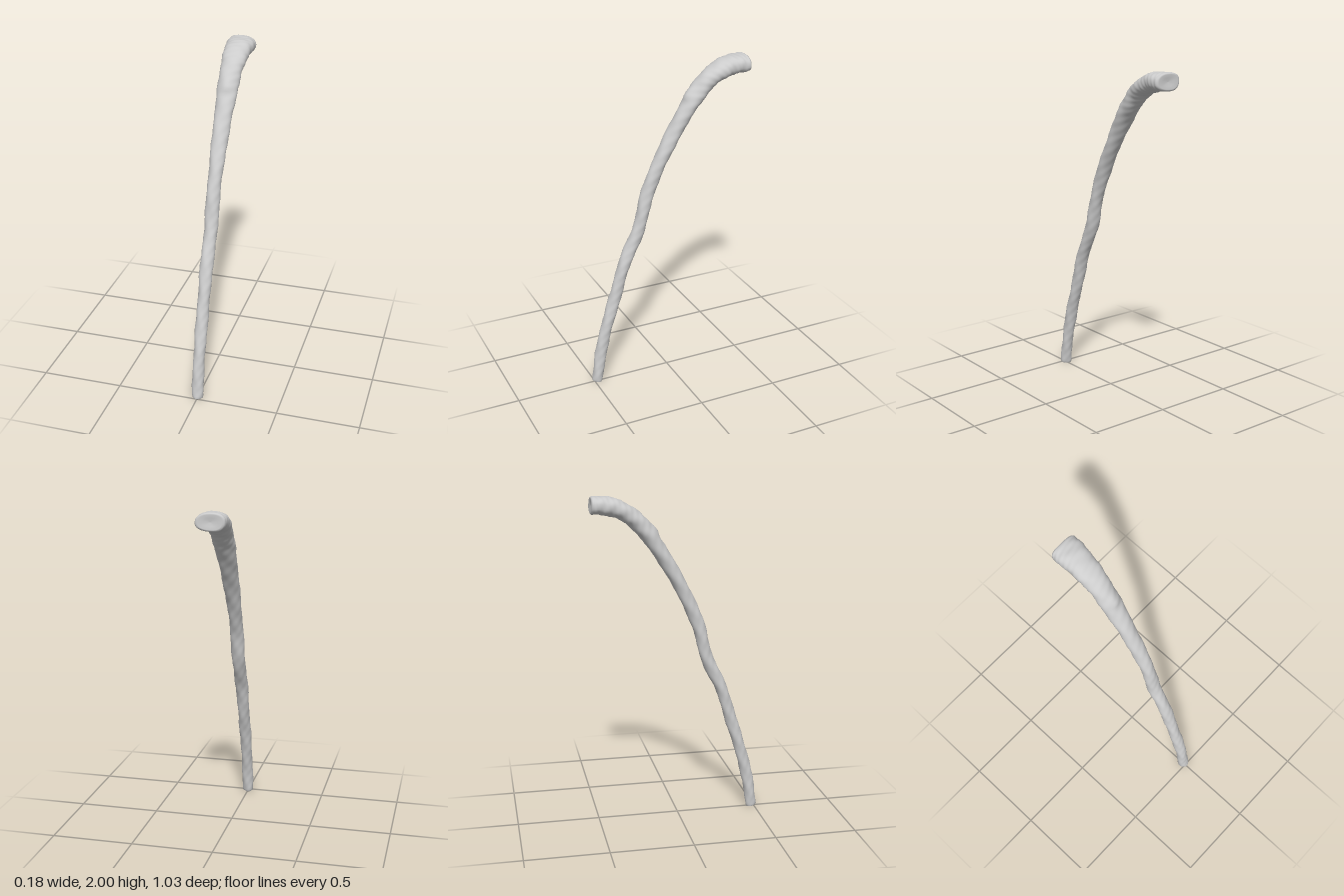
import * as THREE from 'three';

// Sections along the stick: z, y, half width, half thickness
const SECTIONS = [
  [0.483, 0.005, 0.034, 0.034], [0.453, 0.2, 0.035, 0.035], [0.403, 0.4, 0.036, 0.036],
  [0.34, 0.6, 0.037, 0.036], [0.278, 0.8, 0.039, 0.037], [0.185, 1.0, 0.041, 0.038],
  [0.133, 1.2, 0.041, 0.039], [0.048, 1.4, 0.044, 0.042], [-0.062, 1.6, 0.053, 0.043],
  [-0.172, 1.765, 0.062, 0.049], [-0.26, 1.866, 0.068, 0.052], [-0.35, 1.922, 0.077, 0.053],
  [-0.43, 1.944, 0.084, 0.055], [-0.505, 1.948, 0.087, 0.05],
];
const RINGS = 150, SIDES = 32;

// Worn, lumpy surface from a few overlapping waves
function lumps(s, a) {
  return 0.0016 * Math.sin(s * 3.7 + 2 * a) + 0.0014 * Math.sin(s * 7.3 - 3 * a + 1)
    + 0.0008 * Math.sin(s * 17 + 4 * a + 2);
}

// Small knot standing out of the upper side, with a sharp lower lip
function knot(s, a) {
  const d = s - 8.95;
  const along = Math.exp(-((d / (d < 0 ? 0.12 : 0.35)) ** 2));
  return 0.016 * along * Math.exp(-(((a - Math.PI / 2) / 0.65) ** 2));
}

function buildStick() {
  const curve = new THREE.CatmullRomCurve3(SECTIONS.map(([z, y]) => new THREE.Vector3(0, y, z)));
  const last = SECTIONS.length - 1;
  const sizes = new THREE.CatmullRomCurve3(SECTIONS.map(([, , w, h]) => new THREE.Vector3(w, h, 0)));
  const positions = [], index = [];
  const addRing = (u, scale, push) => {
    const c = curve.getPoint(u), t = curve.getTangent(u), r = sizes.getPoint(u), s = u * last;
    const n = new THREE.Vector3(0, -t.z, t.y);
    c.addScaledVector(t, push);
    const k = 1 - 0.18 * THREE.MathUtils.smoothstep(s, 9, 13); // head is squarer than the shaft
    for (let j = 0; j < SIDES; j++) {
      const a = (j / SIDES) * Math.PI * 2, ca = Math.cos(a), sa = Math.sin(a);
      const d = lumps(s, a);
      const x = Math.sign(ca) * Math.abs(ca) ** k * (r.x + d) * scale;
      const h = (Math.sign(sa) * Math.abs(sa) ** k * (r.y + d) + knot(s, a)) * scale;
      positions.push(x, THREE.MathUtils.clamp(c.y + n.y * h, 0, 2), c.z + n.z * h);
    }
  };

  // Blunt foot, shaft and head, then the slightly hollow end face
  addRing(0, 0.001, 0);
  addRing(0, 0.5, 0);
  addRing(0, 0.85, 0);
  addRing(0, 0.96, 0.004);
  for (let i = 1; i <= RINGS; i++) addRing(i / RINGS, 1, 0);
  addRing(1, 0.93, 0.007);
  addRing(1, 0.8, 0.009);
  addRing(1, 0.45, 0.005);
  addRing(1, 0.001, 0.002);

  const count = positions.length / 3 / SIDES;
  for (let i = 0; i < count - 1; i++) {
    for (let j = 0; j < SIDES; j++) {
      const a = i * SIDES + j, b = i * SIDES + (j + 1) % SIDES;
      index.push(a, a + SIDES, b, b, a + SIDES, b + SIDES);
    }
  }
  const geometry = new THREE.BufferGeometry();
  geometry.setAttribute('position', new THREE.Float32BufferAttribute(positions, 3));
  geometry.setIndex(index);
  geometry.computeVertexNormals();
  return geometry;
}

export function createModel() {
  const group = new THREE.Group();
  group.name = 'curvedStick';
  const stick = new THREE.Mesh(buildStick(), new THREE.MeshStandardMaterial({ color: 0xcccccc }));
  stick.name = 'stick';
  group.add(stick);
  return group;
}
